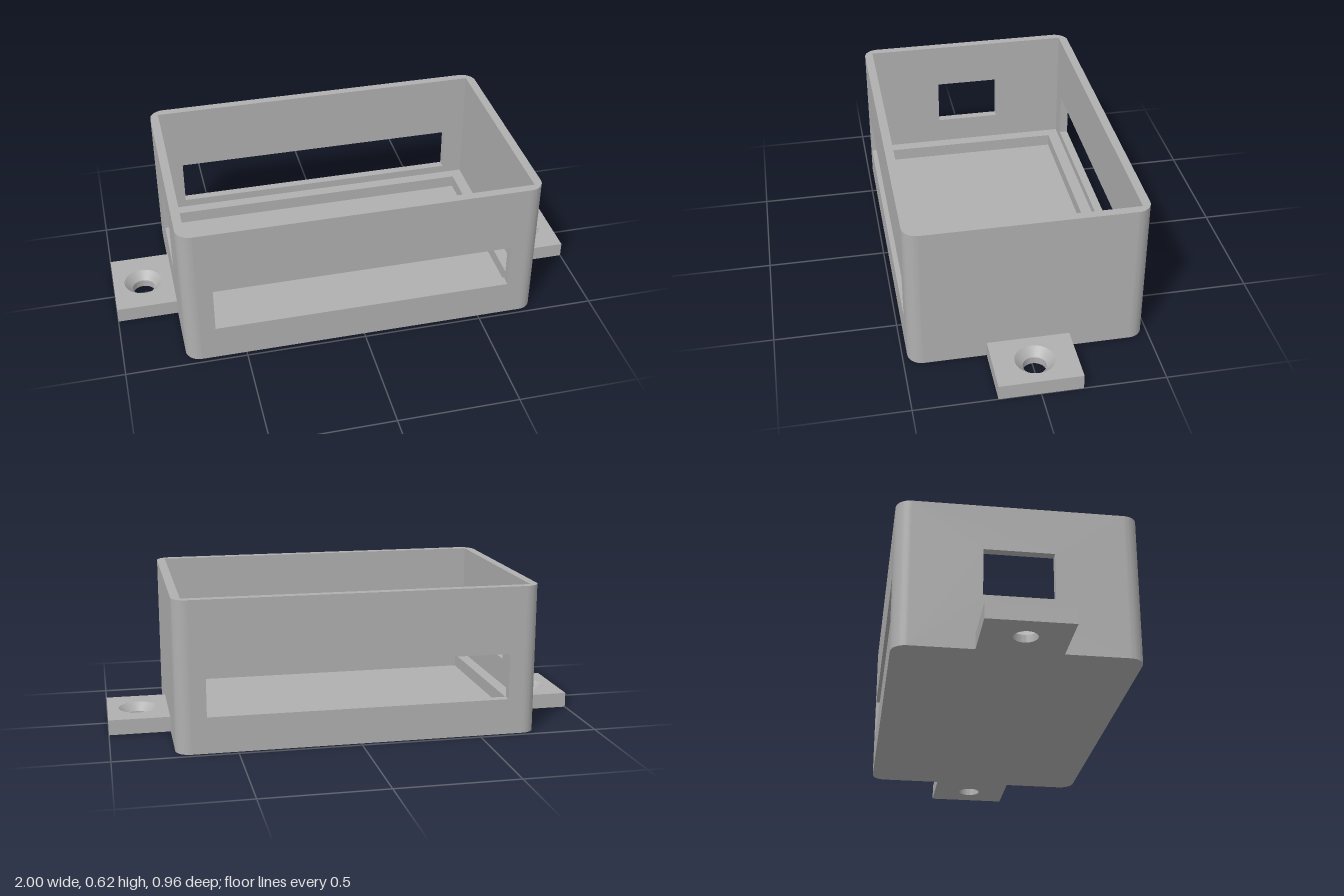
import * as THREE from 'three';
import { toCreasedNormals } from 'three/addons/utils/BufferGeometryUtils.js';

const HX = 0.746, HZ = 0.48, H = 0.623;   // outer half sizes and height
const WALL = 0.036, R = 0.06;             // wall thickness, corner radius
const IX = HX - WALL, IZ = HZ - WALL;     // inner half sizes
const FLOOR = 0.06, LEDGE = 0.115;        // floor and ledge heights
const TAB = 0.064, HOLE_X = 0.873, HOLE_R = 0.047, SINK_R = 0.08;

// Rectangle from corner points, usable as outline or hole
function rect(x0, y0, x1, y1, Type = THREE.Shape) {
  const s = new Type();
  s.moveTo(x0, y0);
  s.lineTo(x1, y0);
  s.lineTo(x1, y1);
  s.lineTo(x0, y1);
  s.closePath();
  return s;
}

function extrude(shape, depth) {
  const g = new THREE.ExtrudeGeometry(shape, { depth, bevelEnabled: false, curveSegments: 24 });
  return toCreasedNormals(g, 0.6);
}

// Extrude a plan outline upwards
const extrudeUp = (shape, height) => extrude(shape, height).rotateX(-Math.PI / 2);

export function createModel() {
  const model = new THREE.Group();
  model.name = 'enclosure';
  const grey = new THREE.MeshStandardMaterial({ color: 0xb0b0b0, side: THREE.DoubleSide });
  grey.name = 'plain grey';

  function add(name, geometry, x = 0, y = 0, z = 0, parent = model) {
    const m = new THREE.Mesh(geometry, grey);
    m.name = name;
    m.position.set(x, y, z);
    parent.add(m);
    return m;
  }

  // Floor and the stepped ledge around it
  add('floor', new THREE.BoxGeometry(2 * IX, FLOOR, 2 * IZ), 0, FLOOR / 2, 0);
  const ledge = rect(-IX, -IZ, IX, IZ);
  ledge.holes.push(rect(-0.66, -0.395, 0.66, 0.395, THREE.Path));
  add('ledge', extrudeUp(ledge, LEDGE - FLOOR), 0, FLOOR, 0);

  // Long walls with wide slots
  const long = rect(-(HX - R), 0, HX - R, H);
  long.holes.push(rect(-0.622, 0.15, 0.622, 0.343, THREE.Path));
  add('frontWall', extrude(long, WALL), 0, 0, IZ);
  add('backWall', extrude(long, WALL), 0, 0, -HZ);

  // Short walls, the right one with a small opening
  const solid = rect(-(HZ - R), 0, HZ - R, H);
  add('leftWall', extrude(solid, WALL).rotateY(Math.PI / 2), IX, 0, 0);
  const open = rect(-(HZ - R), 0, HZ - R, H);
  open.holes.push(rect(-0.14, 0.23, 0.14, 0.428, THREE.Path));
  add('rightWall', extrude(open, WALL).rotateY(Math.PI / 2), -HX, 0, 0);

  // Corner posts: round outside, square inside
  for (const sx of [1, -1]) {
    for (const sz of [1, -1]) {
      const cx = HX - R, cz = HZ - R;
      const pts = [[IX, cz], [HX, cz]];
      for (let i = 1; i <= 16; i++) {
        const a = (i / 16) * Math.PI / 2;
        pts.push([cx + R * Math.cos(a), cz + R * Math.sin(a)]);
      }
      pts.push([cx, IZ], [IX, IZ]);
      const post = new THREE.Shape(pts.map(([x, z]) => new THREE.Vector2(sx * x, sz * z)));
      add('cornerPost', extrudeUp(post, H));
    }
  }

  // Mounting tabs with countersunk screw holes
  const sinkY = TAB - (SINK_R - HOLE_R);
  for (const side of [1, -1]) {
    const tab = new THREE.Group();
    tab.name = side > 0 ? 'leftTab' : 'rightTab';
    model.add(tab);
    const layer = (radius) => {
      const s = rect(side * HX, -0.168, side, 0.168);
      const hole = new THREE.Path();
      hole.absarc(side * HOLE_X, 0, radius, 0, Math.PI * 2, true);
      s.holes.push(hole);
      return s;
    };
    add('tabBase', extrudeUp(layer(HOLE_R), sinkY), 0, 0, 0, tab);
    add('tabTop', extrudeUp(layer(SINK_R), TAB - sinkY), 0, sinkY, 0, tab);
    const cone = [new THREE.Vector2(SINK_R, TAB), new THREE.Vector2(HOLE_R, sinkY)];
    add('countersink', new THREE.LatheGeometry(cone, 48), side * HOLE_X, 0, 0, tab);
  }
  return model;
}
